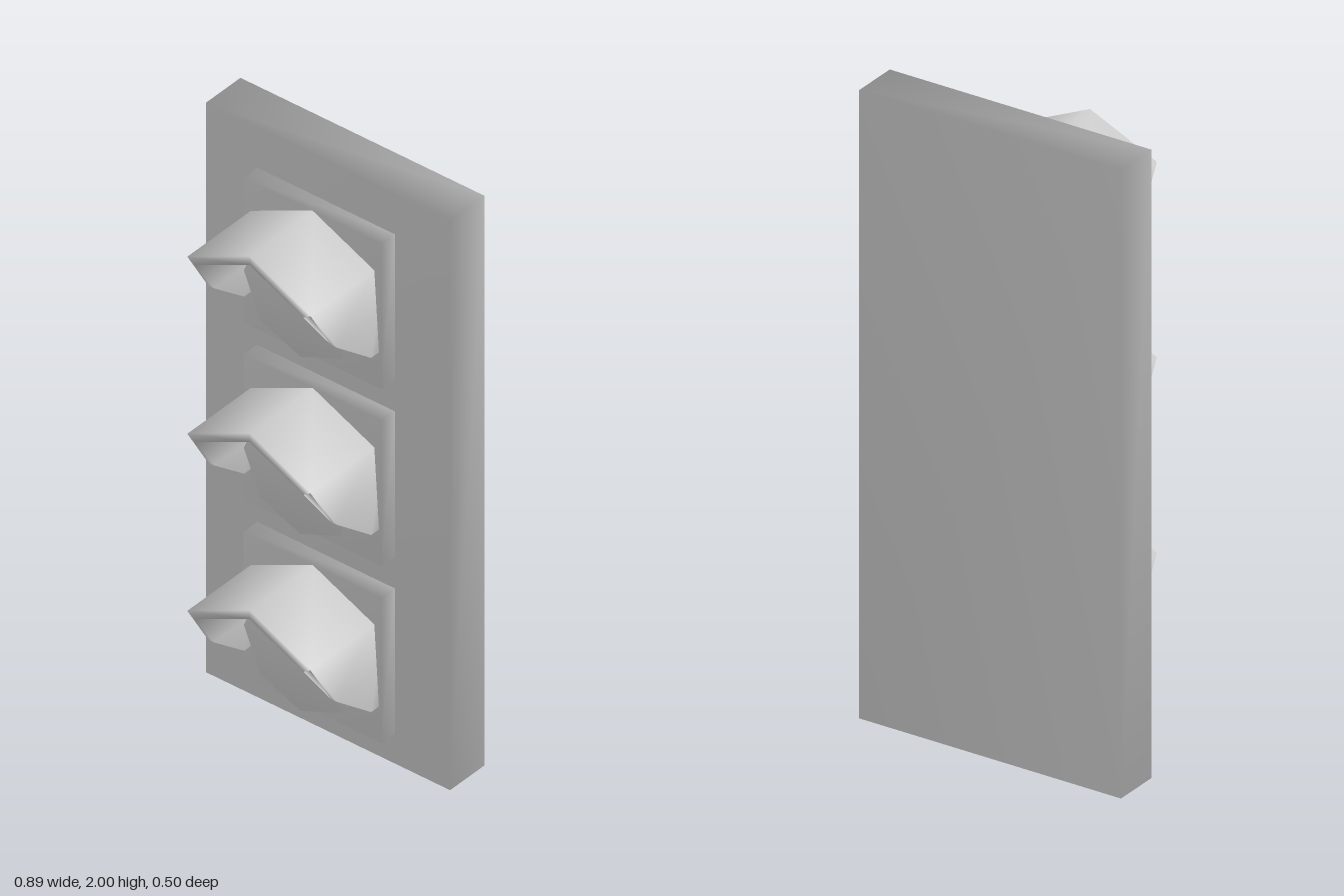
import * as THREE from 'three';
import { mergeVertices } from 'three/addons/utils/BufferGeometryUtils.js';

const material = new THREE.MeshStandardMaterial({ color: 0xcccccc });

// Weld corners so the shading runs smoothly over every edge
function welded(geometry) {
  geometry.deleteAttribute('normal');
  geometry.deleteAttribute('uv');
  const g = mergeVertices(geometry, 1e-4);
  g.computeVertexNormals();
  return g;
}

function part(name, geometry, x, y, z) {
  const mesh = new THREE.Mesh(geometry, material);
  mesh.name = name;
  mesh.position.set(x, y, z);
  return mesh;
}

// Hood: thin folded wall, cut back towards its lower ends
function visorGeometry(back) {
  // [outer x, outer y, inner x, inner y, front z], from lower end to ridge
  const half = [
    [0.243, -0.13, 0.222, -0.13, 0.0],
    [0.236, -0.015, 0.214, -0.015, 0.145],
    [0.226, 0.15, 0.2, 0.133, 0.25],
    [0, 0.255, 0, 0.224, 0.247],
  ];
  const left = half.map(([ox, oy, ix, iy, z]) => [-ox, oy, -ix, iy, z]);
  const stations = [...left, ...half.slice(0, 3).reverse()];
  const pos = [], index = [];
  for (const [ox, oy, ix, iy, z] of stations) {
    pos.push(ox, oy, back, ox, oy, z, ix, iy, z, ix, iy, back);
  }
  const last = stations.length - 1;
  for (let i = 0; i < last; i++) {
    for (let j = 0; j < 4; j++) {
      const a = i * 4 + j, b = i * 4 + (j + 1) % 4;
      index.push(a, b, b + 4, a, b + 4, a + 4);
    }
  }
  const e = last * 4;
  index.push(0, 3, 2, 0, 2, 1, e, e + 1, e + 2, e, e + 2, e + 3);
  const g = new THREE.BufferGeometry();
  g.setAttribute('position', new THREE.Float32BufferAttribute(pos, 3));
  g.setIndex(index);
  g.computeVertexNormals();
  return g;
}

export function createModel() {
  const group = new THREE.Group();
  group.name = 'signalLight';

  // Back board
  group.add(part('backBoard', welded(new THREE.BoxGeometry(0.895, 2, 0.155)), 0, 1, -0.1725));

  // Three identical lamps
  const plate = welded(new THREE.BoxGeometry(0.505, 0.51, 0.06));
  const lens = welded(new THREE.CylinderGeometry(0.207, 0.207, 0.055, 8).rotateX(Math.PI / 2));
  const visor = visorGeometry(-0.035);
  ['bottom', 'middle', 'top'].forEach((name, i) => {
    const lamp = new THREE.Group();
    lamp.name = name + 'Lamp';
    lamp.position.set(-0.007, 0.36 + i * 0.622, 0);
    lamp.add(
      part('lampPlate', plate, 0, 0, -0.065),
      part('lens', lens, 0, -0.02, -0.0075),
      part('visor', visor, 0, 0, 0),
    );
    group.add(lamp);
  });
  return group;
}
